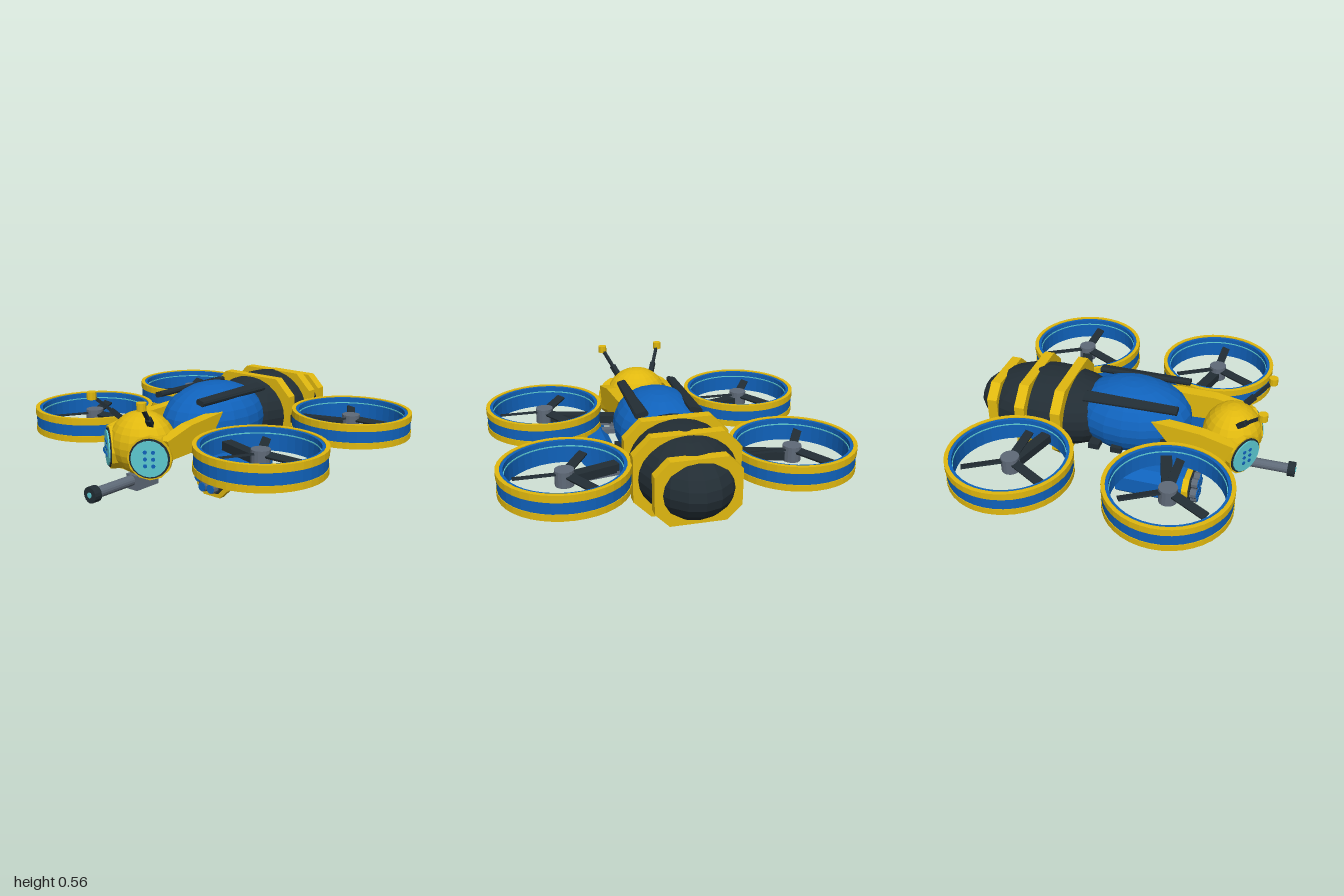
import * as THREE from 'three';

const mat = (name, color) => {
  const m = new THREE.MeshStandardMaterial({ color, flatShading: true });
  m.name = name;
  return m;
};

export function createModel() {
  const yellow = mat('yellow', 0xe0b80f);
  const blue = mat('blue', 0x1062bb);
  const dark = mat('charcoal', 0x222d34);
  const gray = mat('steel gray', 0x5f6a78);
  const cyan = mat('cyan', 0x5cc8d0);
  const root = new THREE.Group();
  root.name = 'beeDrone';

  const add = (parent, name, geo, material, x = 0, y = 0, z = 0) => {
    const m = new THREE.Mesh(geo, material);
    m.name = name;
    m.position.set(x, y, z);
    parent.add(m);
    return m;
  };
  const box = (w, h, d) => new THREE.BoxGeometry(w, h, d);
  // Cylinder lying along z
  const tubeZ = (r, len, n = 16) => new THREE.CylinderGeometry(r, r, len, n).rotateX(Math.PI / 2);
  const ellipsoid = (rx, ry, rz, n = 20, m = 14) => new THREE.SphereGeometry(1, n, m).scale(rx, ry, rz);
  // Chamfered rectangle extruded along z, centred
  const plate = (w, h, c, depth) => {
    const pts = [[w - c, -h], [w, c - h], [w, h - c], [w - c, h], [c - w, h], [-w, h - c], [-w, c - h], [c - w, -h]];
    const shape = new THREE.Shape(pts.map(p => new THREE.Vector2(...p)));
    return new THREE.ExtrudeGeometry(shape, { depth, bevelEnabled: false }).translate(0, 0, -depth / 2);
  };
  // Square-section ring around y
  const ring = (ri, ro, y0, y1) => new THREE.LatheGeometry(
    [[ri, y0], [ro, y0], [ro, y1], [ri, y1], [ri, y0]].map(p => new THREE.Vector2(...p)), 40);
  // Box or rod running between two points
  const beam = (name, a, b, w, h, material) => {
    const from = new THREE.Vector3(...a), to = new THREE.Vector3(...b);
    const m = add(root, name, box(w, h, from.distanceTo(to)), material);
    m.position.copy(from).lerp(to, 0.5);
    m.lookAt(to);
    return m;
  };

  // Body
  add(root, 'abdomen', ellipsoid(0.285, 0.235, 0.47), dark, 0, 0.26, -0.525);
  add(root, 'thorax', ellipsoid(0.27, 0.22, 0.36), blue, 0, 0.29, -0.01);
  add(root, 'head', ellipsoid(0.195, 0.18, 0.175), yellow, 0, 0.27, 0.595);
  for (const [z, w, h, c] of [[-0.4, 0.3, 0.23, 0.1], [-0.625, 0.3, 0.23, 0.1], [-0.833, 0.235, 0.182, 0.08]]) {
    add(root, 'abdomenBand', plate(w, h, c, 0.062), yellow, 0, 0.26, z);
  }

  // Chin cannon
  add(root, 'cannonMount', box(0.08, 0.085, 0.17), gray, 0, 0.062, 0.605);
  add(root, 'cannonBarrel', tubeZ(0.03, 0.3), gray, 0, 0.073, 0.81);
  add(root, 'cannonMuzzle', tubeZ(0.045, 0.045), dark, 0, 0.073, 0.967);
  add(root, 'muzzleLight', tubeZ(0.015, 0.006), cyan, 0, 0.073, 0.991);

  for (const s of [1, -1]) {
    // Eyes, angled outward
    const eye = new THREE.Group();
    eye.name = 'eye';
    eye.position.set(0.148 * s, 0.235, 0.69);
    eye.rotation.y = 0.61 * s;
    root.add(eye);
    add(eye, 'eyeRim', tubeZ(0.122, 0.07, 12), yellow, 0, 0, -0.02);
    add(eye, 'eyeGasket', tubeZ(0.11, 0.02, 20), dark, 0, 0, 0.012);
    add(eye, 'eyeLens', tubeZ(0.1, 0.02, 20), cyan, 0, 0, 0.02);
    for (const x of [-0.022, 0.022]) for (const y of [-0.038, 0, 0.038]) {
      add(eye, 'eyeDot', tubeZ(0.011, 0.006, 8), blue, x, y, 0.032);
    }

    // Antennae
    const a = [0.115 * s, 0.4, 0.645], b = [0.19 * s, 0.54, 0.785];
    beam('antennaStalk', a, b, 0.018, 0.018, dark);
    beam('antennaBase', a, [0.14 * s, 0.446, 0.691], 0.03, 0.03, dark);
    add(root, 'antennaTip', new THREE.CylinderGeometry(0.027, 0.027, 0.042, 12), yellow, b[0], b[1], b[2]);

    // Shoulder rails from thorax to head
    const rail = new THREE.Shape([[-0.16, 0.39], [-0.45, 0.375], [-0.65, 0.33], [-0.61, 0.22], [-0.3, 0.22]]
      .map(p => new THREE.Vector2(...p)));
    const railGeo = new THREE.ExtrudeGeometry(rail, { depth: 0.07, bevelEnabled: false })
      .translate(0, 0, -0.035).rotateY(Math.PI / 2);
    add(root, 'shoulderRail', railGeo, yellow, 0.18 * s, 0, 0).rotation.y = 0.06 * s;
    root.children.at(-1).position.x = 0.165 * s;

    // Folded wing covers, narrower toward the front
    const cover = plate(0.04, 0.016, 0.01, 0.56);
    const p = cover.attributes.position;
    for (let i = 0; i < p.count; i++) if (p.getZ(i) > 0) p.setX(i, p.getX(i) * 0.7);
    add(root, 'wingCover', cover, dark, 0.16 * s, 0.46, 0.02).rotation.z = -0.25 * s;

    // Landing nubs
    for (const z of [-0.04, -0.178]) add(root, 'landingNub', box(0.08, 0.036, 0.065), dark, 0.232 * s, 0.186, z);

    // Launcher pods
    const pod = new THREE.Group();
    pod.name = 'launcherPod';
    pod.position.set(0.367 * s, 0.11, 0);
    root.add(pod);
    add(pod, 'podBody', plate(0.098, 0.096, 0.05, 0.39), blue, 0, 0, 0.215);
    add(pod, 'podCollar', plate(0.107, 0.1, 0.05, 0.035), yellow, 0, -0.01, 0.425);
    add(pod, 'podFace', plate(0.092, 0.085, 0.045, 0.012), dark, 0, 0, 0.446);
    for (let i = 0; i < 7; i++) {
      const r = i < 6 ? 0.058 : 0, t = i * Math.PI / 3;
      const x = r * Math.cos(t), y = r * Math.sin(t);
      add(pod, 'podTube', tubeZ(0.029, 0.045, 10), gray, x, y, 0.465);
      add(pod, 'podTubeCap', tubeZ(0.025, 0.006, 10), blue, x, y, 0.489);
    }
    beam('podBracket', [0.18 * s, 0.19, 0.2], [0.36 * s, 0.17, 0.25], 0.05, 0.03, gray);

    // Ducted rotors with their arms
    for (const z of [-0.535, 0.375]) {
      const rotor = new THREE.Group();
      rotor.name = z > 0 ? 'frontRotor' : 'rearRotor';
      rotor.position.set(0.643 * s, 0, z);
      root.add(rotor);
      add(rotor, 'ductLiner', ring(0.316, 0.338, 0.203, 0.335), blue);
      add(rotor, 'ductUpperRim', ring(0.334, 0.357, 0.3, 0.34), yellow);
      add(rotor, 'ductStripe', ring(0.334, 0.353, 0.235, 0.3), blue);
      add(rotor, 'ductLowerRim', ring(0.334, 0.357, 0.198, 0.235), yellow);
      add(rotor, 'ductLight', ring(0.312, 0.318, 0.3, 0.306), cyan);
      add(rotor, 'rotorHub', new THREE.CylinderGeometry(0.053, 0.053, 0.09, 16), gray, 0, 0.265, 0);
      for (let i = 0; i < 3; i++) {
        const blade = box(0.235, 0.012, 0.05).rotateX(0.3).translate(0.155, 0, 0).rotateY(i * Math.PI * 2 / 3);
        add(rotor, 'rotorBlade', blade, dark, 0, 0.285, 0);
      }
      const start = z > 0 ? [0.12 * s, 0.25, 0.22] : [0.18 * s, 0.25, -0.39];
      beam('rotorArm', start, [0.62 * s, 0.25, z > 0 ? 0.368 : -0.528], 0.065, 0.05, dark);
      beam('rotorStrut', [start[0], 0.215, start[2] - 0.03], [0.62 * s, 0.235, z], 0.025, 0.025, gray);
    }
  }
  return root;
}
